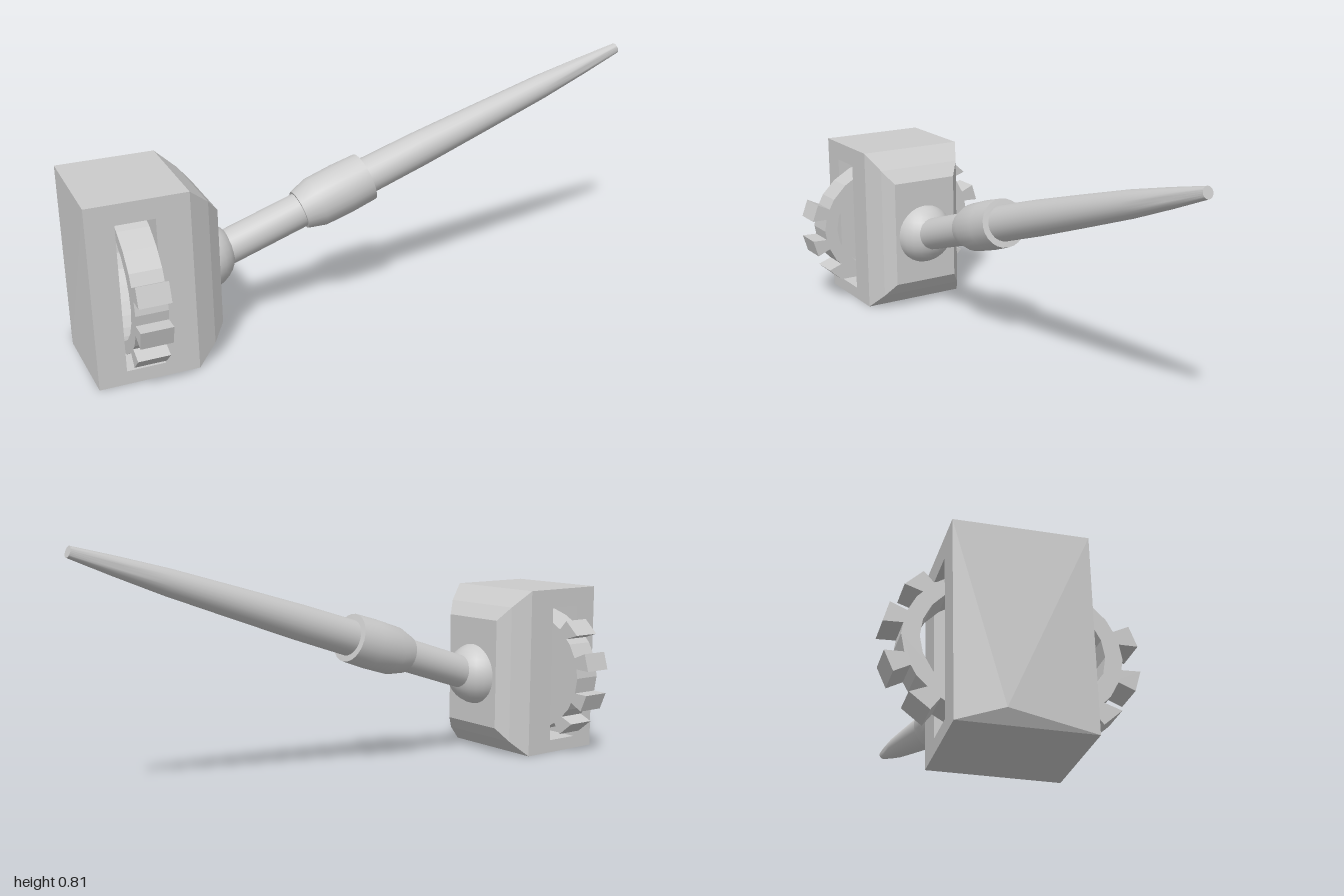
import * as THREE from 'three';
import { toCreasedNormals } from 'three/addons/utils/BufferGeometryUtils.js';

const grey = new THREE.MeshStandardMaterial({ color: 0xcccccc });
const flat = new THREE.MeshStandardMaterial({ color: 0xcccccc, flatShading: true });

function add(parent, name, geometry, material = grey) {
  const mesh = new THREE.Mesh(geometry, material);
  mesh.name = name;
  parent.add(mesh);
  return mesh;
}

const rectangle = (Type, x0, y0, x1, y1) => new Type([
  new THREE.Vector2(x0, y0), new THREE.Vector2(x1, y0),
  new THREE.Vector2(x1, y1), new THREE.Vector2(x0, y1),
]);

// Block with a slot running through it from front to back
function blockGeometry() {
  const shape = rectangle(THREE.Shape, -0.978, 0, -0.66, 0.597);
  shape.holes.push(rectangle(THREE.Path, -0.89, 0.045, -0.767, 0.53));
  const geo = new THREE.ExtrudeGeometry(shape, { depth: 0.384, bevelEnabled: false });
  return geo.translate(0, 0, -0.193);
}

// Sloping nose that narrows in two steps towards the ball joint
function noseGeometry() {
  const geo = new THREE.BoxGeometry(1, 0.597, 0.384, 2, 1, 1);
  const steps = [[-0.66, 1, 1], [-0.595, 0.81, 0.82], [-0.556, 0.65, 0.64]];
  const p = geo.attributes.position;
  for (let i = 0; i < p.count; i++) {
    const [x, sy, sz] = steps[Math.round((p.getX(i) + 0.5) * 2)];
    p.setXYZ(i, x, 0.2985 + p.getY(i) * sy, p.getZ(i) * sz - 0.001);
  }
  return geo;
}

// Shallow off-centre point on the rear face
function rearGeometry() {
  const x = -0.978;
  const corners = [[x, 0, -0.193], [x, 0, 0.191], [x, 0.597, 0.191], [x, 0.597, -0.193]];
  const points = corners.flatMap((c, i) => [...c, ...corners[(i + 1) % 4], -1, 0.04, -0.06]);
  const geo = new THREE.BufferGeometry();
  geo.setAttribute('position', new THREE.Float32BufferAttribute(points, 3));
  geo.computeVertexNormals();
  return geo;
}

// Flattened toothed ring, teeth only where it sticks out of the block
function gearGeometry() {
  const point = (r, degrees) => {
    const a = THREE.MathUtils.degToRad(degrees);
    return new THREE.Vector2(r * Math.cos(a), r * 0.77 * Math.sin(a));
  };
  const loop = (r) => Array.from({ length: 24 }, (_, i) => point(r, i * 15));
  const ring = new THREE.Shape(loop(0.308));
  ring.holes.push(new THREE.Path(loop(0.258)));
  const teeth = [16, -13, -41, 140, 167, 198, 224].map((a) => new THREE.Shape([
    point(0.298, a - 4.5), point(0.36, a - 6.5), point(0.36, a + 6.5), point(0.298, a + 4.5),
  ]));
  const geo = new THREE.ExtrudeGeometry([ring, ...teeth], { depth: 0.1, bevelEnabled: false });
  return geo.rotateY(-Math.PI / 2).translate(-0.778, 0.287, 0);
}

// Turned part from [radius, distance along the arm] pairs
function turned(profile) {
  const points = profile.map(([r, t]) => new THREE.Vector2(r, t));
  return toCreasedNormals(new THREE.LatheGeometry(points, 24), 0.6);
}

export function createModel() {
  const model = new THREE.Group();
  model.name = 'slottedBlockWithArm';

  const body = new THREE.Group();
  body.name = 'body';
  model.add(body);
  add(body, 'slottedBlock', blockGeometry(), flat);
  add(body, 'nose', noseGeometry(), flat);
  add(body, 'rearFace', rearGeometry(), flat);
  add(model, 'gearRing', gearGeometry(), flat);

  add(model, 'ballJoint', new THREE.SphereGeometry(0.112, 24, 16).translate(-0.582, 0.287, 0));

  // Arm parts share one axis rising towards +x
  const start = new THREE.Vector3(-0.56, 0.28, 0);
  const axis = new THREE.Vector3(0.985, 0.79, 0).sub(start);
  const length = axis.length();
  const arm = new THREE.Group();
  arm.name = 'arm';
  arm.position.copy(start);
  arm.quaternion.setFromUnitVectors(new THREE.Vector3(0, 1, 0), axis.normalize());
  model.add(arm);

  add(arm, 'rod', turned([[0.058, 0], [0.058, 0.45]]));
  add(arm, 'collar', turned([
    [0, 0.34], [0.066, 0.34], [0.084, 0.4], [0.086, 0.5], [0.083, 0.588], [0, 0.592],
  ]));
  add(arm, 'taperedShaft', turned([
    [0.062, 0.57], [0.059, 0.8], [0.051, 1.05], [0.042, 1.3], [0.03, 1.48], [0.018, length], [0, length],
  ]));

  return model;
}
